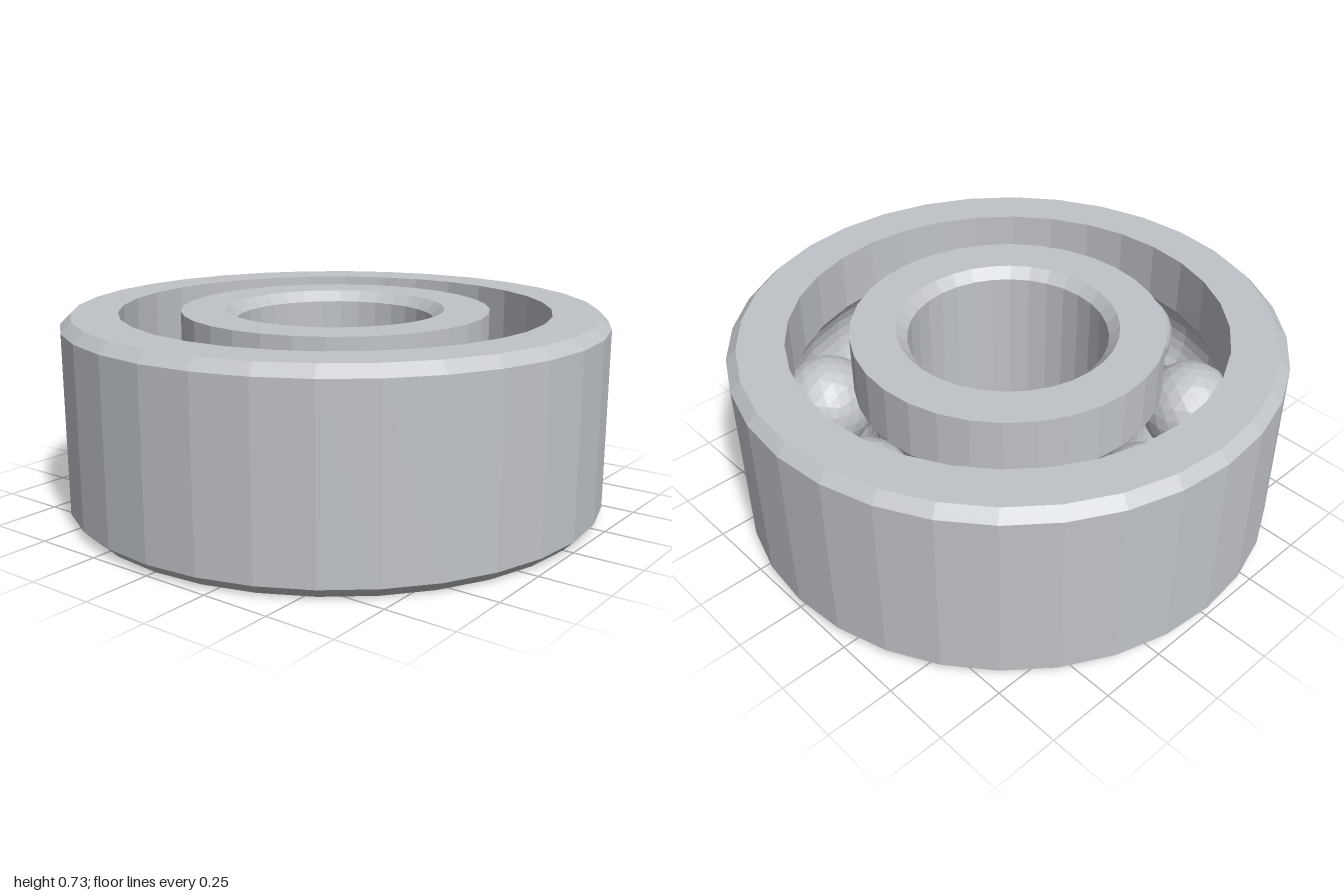
import * as THREE from 'three';

const HEIGHT = 0.73, MID = HEIGHT / 2, SEGMENTS = 32;
const BALLS = 8, PITCH = 0.68, BALL_R = 0.177, GROOVE_R = 0.18;

// Raceway arc where the ball groove cuts a wall at the given radius
function groove(wallR, steps = 8) {
  const side = Math.sign(wallR - PITCH);
  const a = Math.acos(Math.abs(wallR - PITCH) / GROOVE_R);
  const points = [];
  for (let i = 0; i <= steps; i++) {
    const t = a * (2 * i / steps - 1);
    points.push([PITCH + side * GROOVE_R * Math.cos(t), MID + GROOVE_R * Math.sin(t)]);
  }
  return points; // bottom to top
}

// Revolves a closed counter-clockwise (radius, height) profile
function ring(name, profile, material) {
  const points = [...profile, profile[0]].map(([r, y]) => new THREE.Vector2(r, y));
  const mesh = new THREE.Mesh(new THREE.LatheGeometry(points, SEGMENTS).toNonIndexed(), material);
  mesh.geometry.computeVertexNormals();
  mesh.name = name;
  return mesh;
}

export function createModel() {
  const model = new THREE.Group();
  model.name = 'ballBearing';
  const steel = new THREE.MeshStandardMaterial({ color: 0xc0c3c8 });
  steel.name = 'steel';
  steel.flatShading = true;

  // Outer ring: chamfered outside, raceway inside
  const outerR = 1, outerWall = 0.793, c = 0.038;
  model.add(ring('outerRing', [
    [outerWall, 0], [outerR - c, 0], [outerR, c],
    [outerR, HEIGHT - c], [outerR - c, HEIGHT], [outerWall, HEIGHT],
    ...groove(outerWall).reverse(),
  ], steel));

  // Inner ring: raceway outside, chamfered bore
  const innerWall = 0.568, bore = 0.364;
  model.add(ring('innerRing', [
    [bore + c, 0], [innerWall, 0], ...groove(innerWall), [innerWall, HEIGHT],
    [bore + c, HEIGHT], [bore, HEIGHT - c], [bore, c],
  ], steel));

  // Balls, each with a vertex pointing up
  const ballGeometry = new THREE.IcosahedronGeometry(BALL_R, 3);
  ballGeometry.rotateZ(-Math.atan(2 / (1 + Math.sqrt(5))));
  const balls = new THREE.Group();
  balls.name = 'balls';
  for (let i = 0; i < BALLS; i++) {
    const a = i / BALLS * Math.PI * 2;
    const ball = new THREE.Mesh(ballGeometry, steel);
    ball.name = 'ball';
    ball.position.set(PITCH * Math.sin(a), MID, PITCH * Math.cos(a));
    balls.add(ball);
  }
  model.add(balls);
  return model;
}
